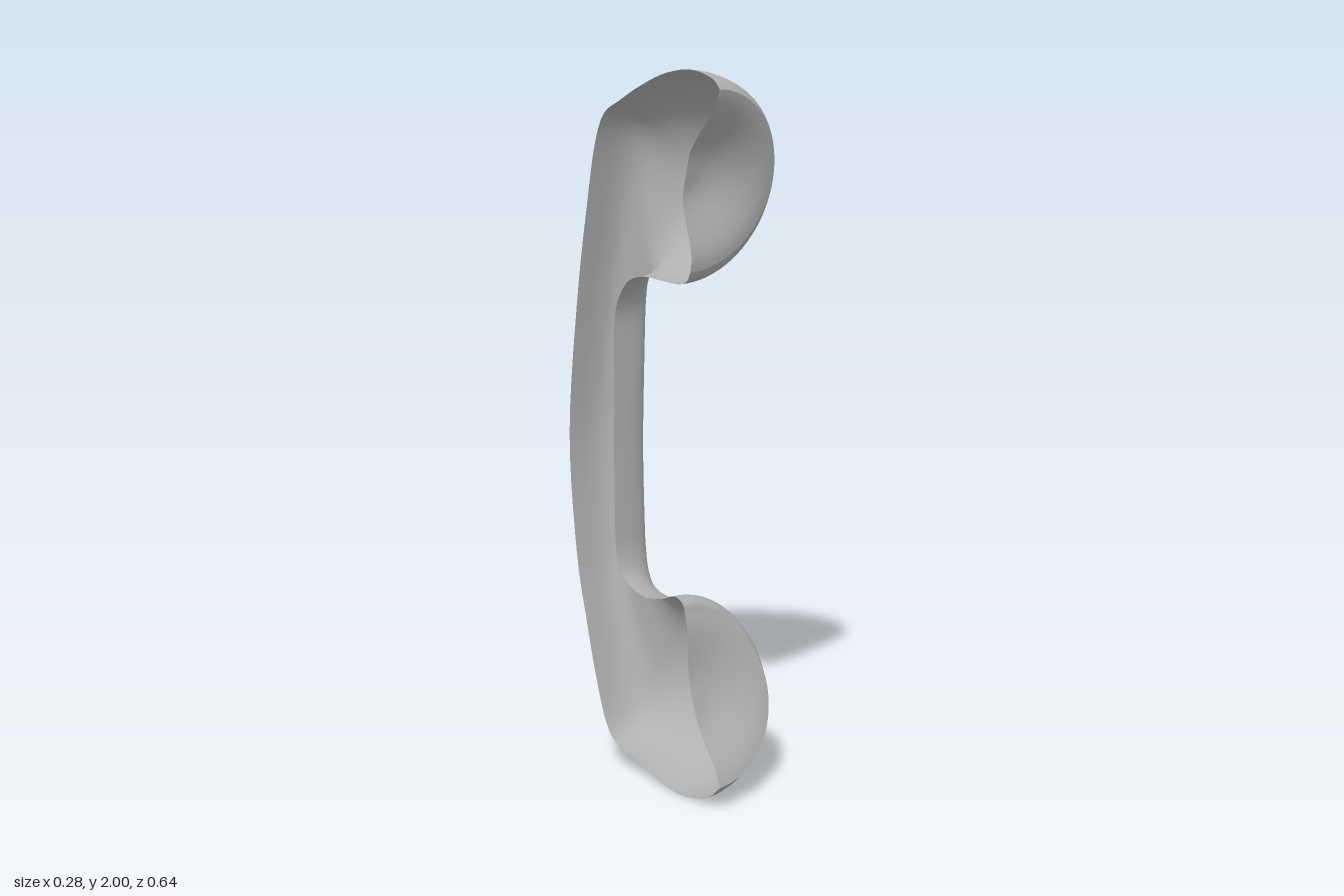
import * as THREE from 'three';

const CUT = -0.143; // x of the open cut plane
const ACROSS = 40;  // segments around each half section

// Half sections along the handset: inner z, inner y, outer z, outer y, half width, squareness
const SECTIONS = [
  [0.2, 1.475, 0.31, 1.95, 0.247, 2],
  [0.185, 1.45, 0.28, 1.978, 0.268, 2],
  [0.15, 1.44, 0.2, 2.0, 0.283, 2],
  [0.08, 1.445, 0.1, 1.992, 0.28, 2],
  [0.01, 1.45, 0.0, 1.96, 0.255, 2],
  [-0.05, 1.435, -0.09, 1.92, 0.208, 2.1],
  [-0.085, 1.4, -0.155, 1.885, 0.17, 2.5],
  [-0.105, 1.36, -0.195, 1.8, 0.15, 3],
  [-0.115, 1.31, -0.23, 1.64, 0.144, 3.6],
  [-0.117, 1.2, -0.28, 1.36, 0.143, 4],
  [-0.12, 0.95, -0.322, 0.97, 0.143, 4],
  [-0.118, 0.75, -0.295, 0.62, 0.143, 4],
  [-0.115, 0.665, -0.25, 0.41, 0.144, 3.6],
  [-0.105, 0.62, -0.21, 0.255, 0.15, 3],
  [-0.085, 0.585, -0.165, 0.125, 0.17, 2.5],
  [-0.045, 0.56, -0.11, 0.07, 0.208, 2.1],
  [0.01, 0.545, 0.0, 0.04, 0.255, 2],
  [0.08, 0.555, 0.08, 0.012, 0.28, 2],
  [0.135, 0.574, 0.17, 0.0, 0.284, 2],
  [0.17, 0.56, 0.27, 0.025, 0.268, 2],
  [0.18, 0.53, 0.323, 0.07, 0.247, 2],
];

// Half superellipse running from the inner point to the outer point
function halfSection([zi, yi, zo, yo, w, n]) {
  const pts = [];
  for (let j = 0; j <= ACROSS; j++) {
    const a = (j / ACROSS) * Math.PI;
    const c = Math.cos(a);
    const k = 0.5 - 0.5 * Math.sign(c) * Math.abs(c) ** (2 / n);
    const x = CUT + w * Math.max(0, Math.sin(a)) ** (2 / n);
    pts.push(new THREE.Vector3(x, yi + (yo - yi) * k, zi + (zo - zi) * k));
  }
  return pts;
}

// Smooth surface through a list of equally long rows of points
function loft(rows) {
  const index = [];
  const n = rows[0].length;
  for (let i = 0; i < rows.length - 1; i++) {
    for (let j = 0; j < n - 1; j++) {
      const a = i * n + j, b = a + n;
      index.push(a, b, a + 1, b, b + 1, a + 1);
    }
  }
  const geo = new THREE.BufferGeometry().setFromPoints(rows.flat());
  geo.setIndex(index);
  geo.computeVertexNormals();
  return geo;
}

// Hollow face set into a rim: the rim loop shrinks while sinking along its axis
function dishRows(section, depth) {
  const [zi, yi, zo, yo] = section;
  const rim = halfSection(section);
  const centre = new THREE.Vector3(CUT, (yi + yo) / 2, (zi + zo) / 2);
  const inward = new THREE.Vector3(0, (zo - zi) * Math.sign(yo - yi), -Math.abs(yo - yi)).normalize();
  const rows = [];
  for (let i = 0; i <= 16; i++) {
    const s = 1 - i / 16;
    const sink = depth * (1 - THREE.MathUtils.smoothstep(s, 0.15, 0.97));
    rows.push(rim.map((p) => p.clone().sub(centre).multiplyScalar(s).add(centre).addScaledVector(inward, sink)));
  }
  return rows;
}

export function createModel() {
  const group = new THREE.Group();
  group.name = 'handsetHalf';
  const grey = new THREE.MeshStandardMaterial({ color: 0xb0b0b0, side: THREE.DoubleSide });
  grey.name = 'grey';

  const add = (name, rows) => {
    const mesh = new THREE.Mesh(loft(rows), grey);
    mesh.name = name;
    group.add(mesh);
  };

  // Outer shell: cups and handle swept in one piece
  const curve = (f) => new THREE.CatmullRomCurve3(SECTIONS.map(f), false, 'catmullrom', 0.5);
  const inner = curve((s) => new THREE.Vector3(0, s[1], s[0]));
  const outer = curve((s) => new THREE.Vector3(0, s[3], s[2]));
  const shape = curve((s) => new THREE.Vector3(s[4], s[5], 0));
  const steps = (SECTIONS.length - 1) * 5;
  const shell = [];
  for (let i = 0; i <= steps; i++) {
    const t = i / steps;
    const p = inner.getPoint(t), q = outer.getPoint(t), s = shape.getPoint(t);
    shell.push(halfSection([p.z, p.y, q.z, q.y, s.x, s.y]));
  }
  add('handsetShell', shell);

  // Hollow faces of the two cups
  add('earpieceDish', dishRows(SECTIONS[0], 0.075).reverse());
  add('mouthpieceDish', dishRows(SECTIONS[SECTIONS.length - 1], 0.04));
  return group;
}
